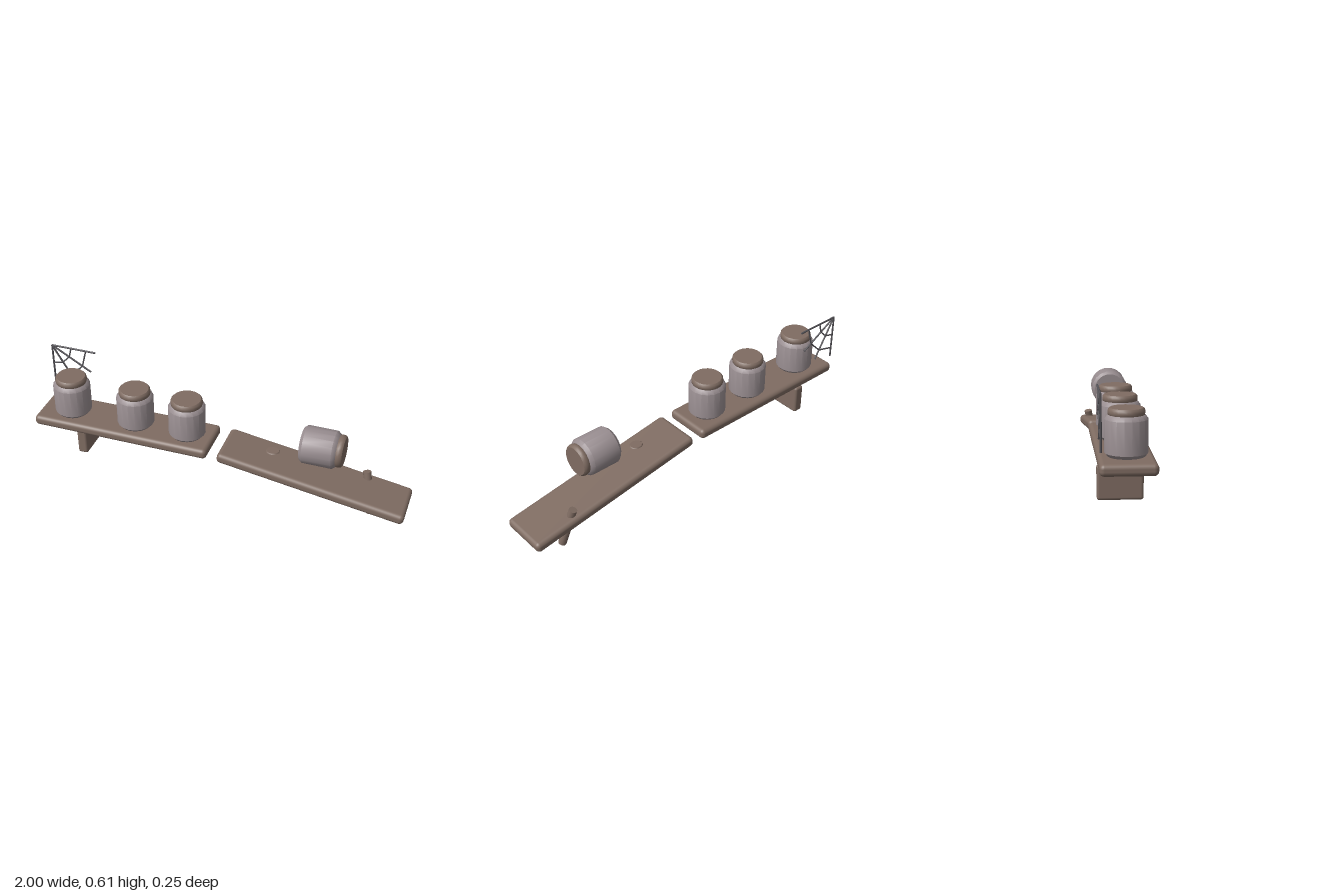
import * as THREE from 'three';
import { toCreasedNormals } from 'three/addons/utils/BufferGeometryUtils.js';
import { RoundedBoxGeometry } from 'three/addons/geometries/RoundedBoxGeometry.js';

export function createModel() {
  const material = (name, color) => {
    const m = new THREE.MeshStandardMaterial({ color });
    m.name = name;
    return m;
  };
  const wood = material('wood', 0x7f6c62);
  const clay = material('clay', 0x998e91);
  const thread = material('thread', 0x57555a);

  const model = new THREE.Group();
  model.name = 'brokenShelf';

  const add = (parent, name, geometry, mat, x = 0, y = 0, z = 0) => {
    const mesh = new THREE.Mesh(geometry, mat);
    mesh.name = name;
    mesh.position.set(x, y, z);
    parent.add(mesh);
    return mesh;
  };

  // Cylinder running between two points
  const rod = (parent, name, a, b, radius, sides, mat) => {
    const dir = b.clone().sub(a);
    const mesh = add(parent, name, new THREE.CylinderGeometry(radius, radius, dir.length(), sides), mat);
    mesh.position.copy(a).add(b).multiplyScalar(0.5);
    mesh.quaternion.setFromUnitVectors(new THREE.Vector3(0, 1, 0), dir.normalize());
    return mesh;
  };

  const turned = (points, sides) => toCreasedNormals(
    new THREE.LatheGeometry(points.map(([r, y]) => new THREE.Vector2(r, y)), sides), 0.7);

  // Two halves of the snapped board, the second one sagging
  add(model, 'levelBoard', new RoundedBoxGeometry(0.965, 0.055, 0.255, 3, 0.022), wood, -0.5175, 0.2825, 0);
  const sagging = add(model, 'saggingBoard', new RoundedBoxGeometry(0.985, 0.055, 0.255, 3, 0.022), wood, 0.508, 0.207, 0);
  sagging.rotation.z = -0.155;

  // Bracket under the level board and loose peg through the sagging one
  add(model, 'bracket', new RoundedBoxGeometry(0.055, 0.16, 0.21, 2, 0.013), wood, -0.752, 0.176, -0.022);
  rod(model, 'loosePeg', new THREE.Vector3(0.805, 0.007, -0.043), new THREE.Vector3(0.759, 0.228, -0.092), 0.021, 14, wood);

  // Jars with stoppers
  const body = turned([[0, 0], [0.083, 0], [0.097, 0.016], [0.097, 0.165], [0.083, 0.184], [0.07, 0.19], [0, 0.19]], 18);
  const lid = turned([[0, 0.176], [0.074, 0.176], [0.081, 0.183], [0.083, 0.196], [0.081, 0.208], [0.074, 0.215], [0, 0.215]], 24);
  const jar = (name, x, y, z) => {
    const group = new THREE.Group();
    group.name = name;
    group.position.set(x, y, z);
    add(group, 'jarBody', body, clay);
    add(group, 'jarLid', lid, wood);
    model.add(group);
    return group;
  };
  [-0.825, -0.465, -0.178].forEach((x, i) => jar(`standingJar${i + 1}`, x, 0.31, 0));
  jar('fallenJar', 0.44, 0.404, 0.015).rotation.z = -Math.PI / 2;

  // Thin chip beside the fallen jar
  const chip = add(model, 'chip', turned([[0, 0], [0.02, 0], [0.037, 0.008], [0.033, 0.013], [0, 0.013]], 9), wood, 0.288, 0.306, 0.011);
  chip.scale.z = 0.88;

  // Corner cobweb: four spokes joined by two rows of cross threads
  const web = new THREE.Group();
  web.name = 'cobweb';
  web.position.set(-0.985, 0.61, -0.122);
  model.add(web);
  const onSpoke = (i, r) => {
    const angle = -i * Math.PI / 6;
    return new THREE.Vector3(Math.cos(angle) * r, Math.sin(angle) * r, 0);
  };
  for (let i = 0; i < 4; i++) {
    rod(web, 'webSpoke', new THREE.Vector3(), onSpoke(i, 0.25), 0.005, 6, thread);
    if (i < 3) {
      for (const r of [0.11, 0.195]) {
        rod(web, 'webCrossThread', onSpoke(i, r), onSpoke(i + 1, r), 0.004, 6, thread);
      }
    }
  }
  return model;
}
